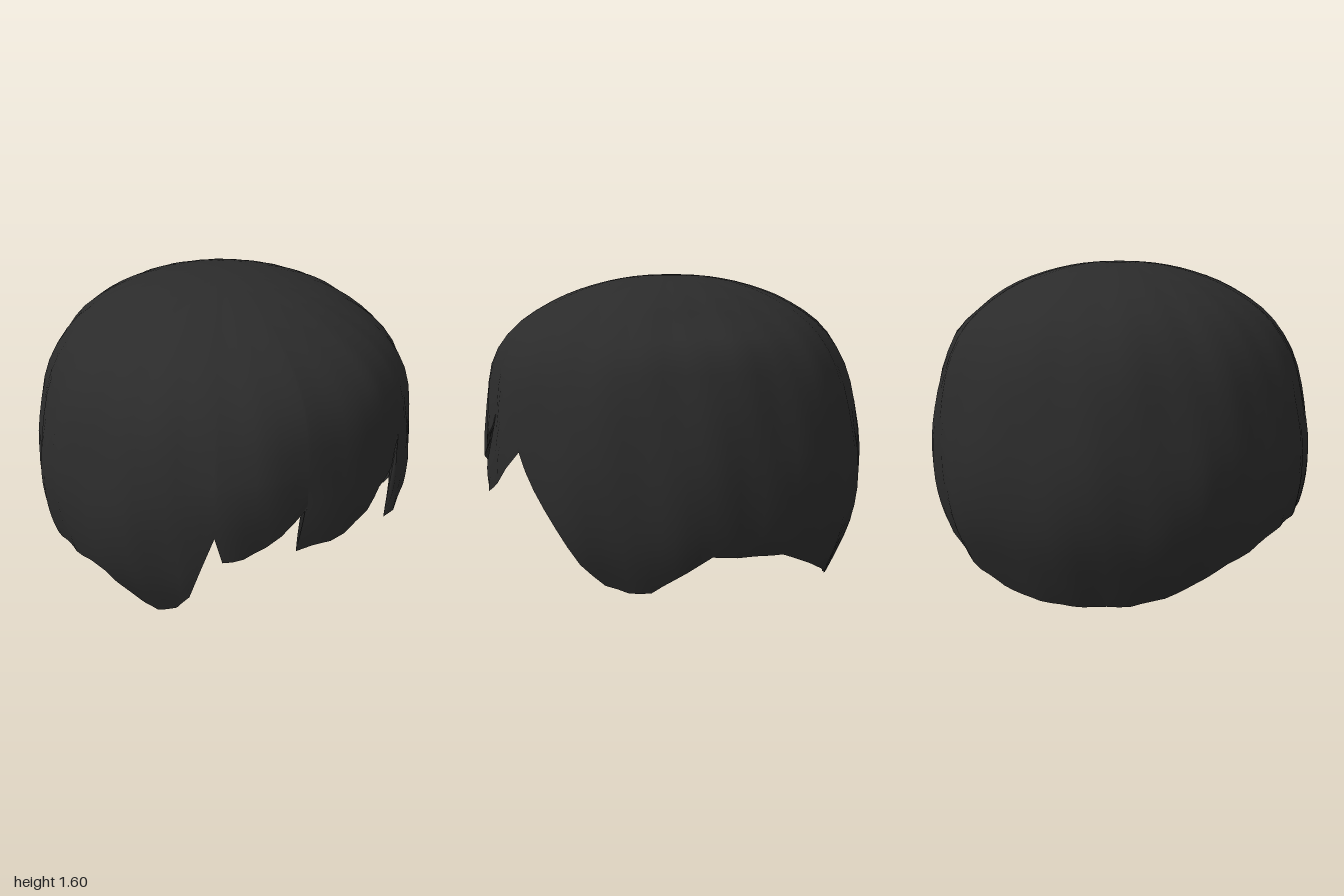
import * as THREE from 'three';

const UPPER = 16, LOWER = 10, ROWS = UPPER + LOWER;
const LOCK_TOP = 0.94; // height where the separate locks begin
const rad = THREE.MathUtils.degToRad;

// Dome silhouette from crown to nape: radius, height
const profile = new THREE.SplineCurve([
  [0, 1.595], [0.18, 1.585], [0.37, 1.545], [0.57, 1.465], [0.77, 1.32], [0.91, 1.1], [0.975, 0.8],
  [0.985, 0.55], [0.955, 0.33], [0.88, 0.13], [0.82, 0], [0.76, -0.1],
].map(([r, y]) => new THREE.Vector2(r, y)));

// Fuller areas: angle, angular width, height, height width, amount
const bulges = [
  [-12, 60, 1.27, 0.28, 0.055], // swept fringe
  [-46, 22, 0.88, 0.25, 0.045], // right temple
  [180, 60, 1.4, 0.28, 0.03],   // back of the crown
  [180, 60, 0.6, 0.3, 0.012],   // nape
  [-90, 40, 0.65, 0.3, 0.015],  // right side
  [88, 25, 1.24, 0.07, 0.025],  // ledge beside the parting
  [88, 25, 1.36, 0.06, -0.035], // dip beside the parting
];

// Hairline: angle at the crown, angle at the tip (degrees from the front), tip height
const back = [[112, 0.31], [137, 0.14], [143, 0.09], [150, 0.055], [161, 0.015]];
const hairline = [
  [-180, -180, 0],
  ...back.map(([a, h]) => [-a, -a, h]).reverse(),
  [-98, -98, 0.32], [-84, -84, 0.33], [-74, -74, 0.14],
  [-69, -69, 0.12], [-62, -62, 0.17], [-57, -57, 0.29], [-49.5, -49.5, 0.67], // right sideburn
  [-48.5, -47.5, 0.53], [-42, -42, 0.55], [-36, -36, 0.6], [-24.5, -24.5, 0.77], // fringe locks
  [-23.5, -27.5, 0.55], [-12, -12, 0.57], [0, 0, 0.68], [9, 9, 0.78], [16, 16, 0.9],
  [17, 7, 0.51], [20, 12, 0.51], [25, 21, 0.58], [33, 33, 0.76],
  [53.5, 53.5, 0.27], [60, 60, 0.17], [67, 67, 0.14], // left sideburn
  [74, 74, 0.15], [84, 84, 0.26], [91, 91, 0.33], [98, 98, 0.32],
  ...back.map(([a, h]) => [a, a, h]),
  [180, 180, 0],
];

// Split long hairline spans into columns of about four degrees
function makeColumns() {
  const cols = [];
  for (let i = 0; i < hairline.length - 1; i++) {
    const a = hairline[i], b = hairline[i + 1];
    const n = Math.max(1, Math.ceil((b[0] - a[0]) / 4));
    for (let k = 0; k < n; k++) cols.push(a.map((v, j) => v + (b[j] - v) * k / n));
  }
  return cols;
}

// Position along the profile where it reaches a given height
function profileAt(height) {
  let lo = 0, hi = 1;
  for (let i = 0; i < 24; i++) {
    const mid = (lo + hi) / 2;
    if (profile.getPoint(mid).y > height) lo = mid; else hi = mid;
  }
  return lo;
}

// Outer radius at an angle, with fuller areas and soft swirling strands
function hairRadius(a, p) {
  let sum = 0;
  for (const [deg, width, y, height, amount] of bulges) {
    const d = Math.abs(THREE.MathUtils.radToDeg(a) - deg);
    const da = Math.min(d, 360 - d) / width, dy = (p.y - y) / height;
    sum += amount * Math.exp(-da * da - dy * dy);
  }
  const wave = 0.007 * Math.sin(26 * a + 5 * p.y) + 0.005 * Math.sin(11 * a - 4 * p.y);
  return p.x + sum * Math.min(1, p.x / 0.4) + wave * p.x;
}

// One skin of the hair; thickness pulls it inward, tapering to the hairline
function hairSkin(thickness) {
  const cols = makeColumns(), n = cols.length, start = profileAt(LOCK_TOP);
  const pos = [0, 1.595 - thickness, 0], index = [];
  for (const [top, tip, height] of cols) {
    const end = profileAt(height);
    for (let r = 1; r <= ROWS; r++) {
      // Even rows over the dome, then down to each lock's tip
      const low = Math.max(0, (r - UPPER) / LOWER);
      const p = profile.getPoint(r <= UPPER ? start * r / UPPER : start + (end - start) * low);
      // Locks sweep sideways only below the notches
      const lean = THREE.MathUtils.clamp((0.9 - p.y) / (0.9 - Math.min(height, 0.89)), 0, 1);
      const a = rad(top + (tip - top) * lean);
      const inset = thickness * (1 - low ** 3);
      const radius = hairRadius(a, p) - inset * p.x;
      const y = p.y - inset * Math.max(0, (p.y - 0.65) / 0.95);
      pos.push(Math.sin(a) * radius, y, Math.cos(a) * radius);
    }
  }
  const id = (c, r) => 1 + (c % n) * ROWS + r;
  for (let c = 0; c < n; c++) {
    index.push(0, id(c, 0), id(c + 1, 0));
    for (let r = 0; r < ROWS - 1; r++) {
      const a = id(c, r), b = id(c, r + 1), d = id(c + 1, r), e = id(c + 1, r + 1);
      index.push(a, b, d, b, e, d);
    }
  }
  if (thickness) index.reverse(); // the lining faces inward
  const g = new THREE.BufferGeometry();
  g.setAttribute('position', new THREE.Float32BufferAttribute(pos, 3));
  g.setIndex(index);
  g.computeVertexNormals();
  return g;
}

export function createModel() {
  const black = new THREE.MeshStandardMaterial({ color: 0x2b2b2b, side: THREE.DoubleSide });
  black.name = 'soft black';
  const group = new THREE.Group();
  group.name = 'hair';
  for (const [name, thickness] of [['outerHair', 0], ['innerLining', 0.04]]) {
    const mesh = new THREE.Mesh(hairSkin(thickness), black);
    mesh.name = name;
    group.add(mesh);
  }
  return group;
}
